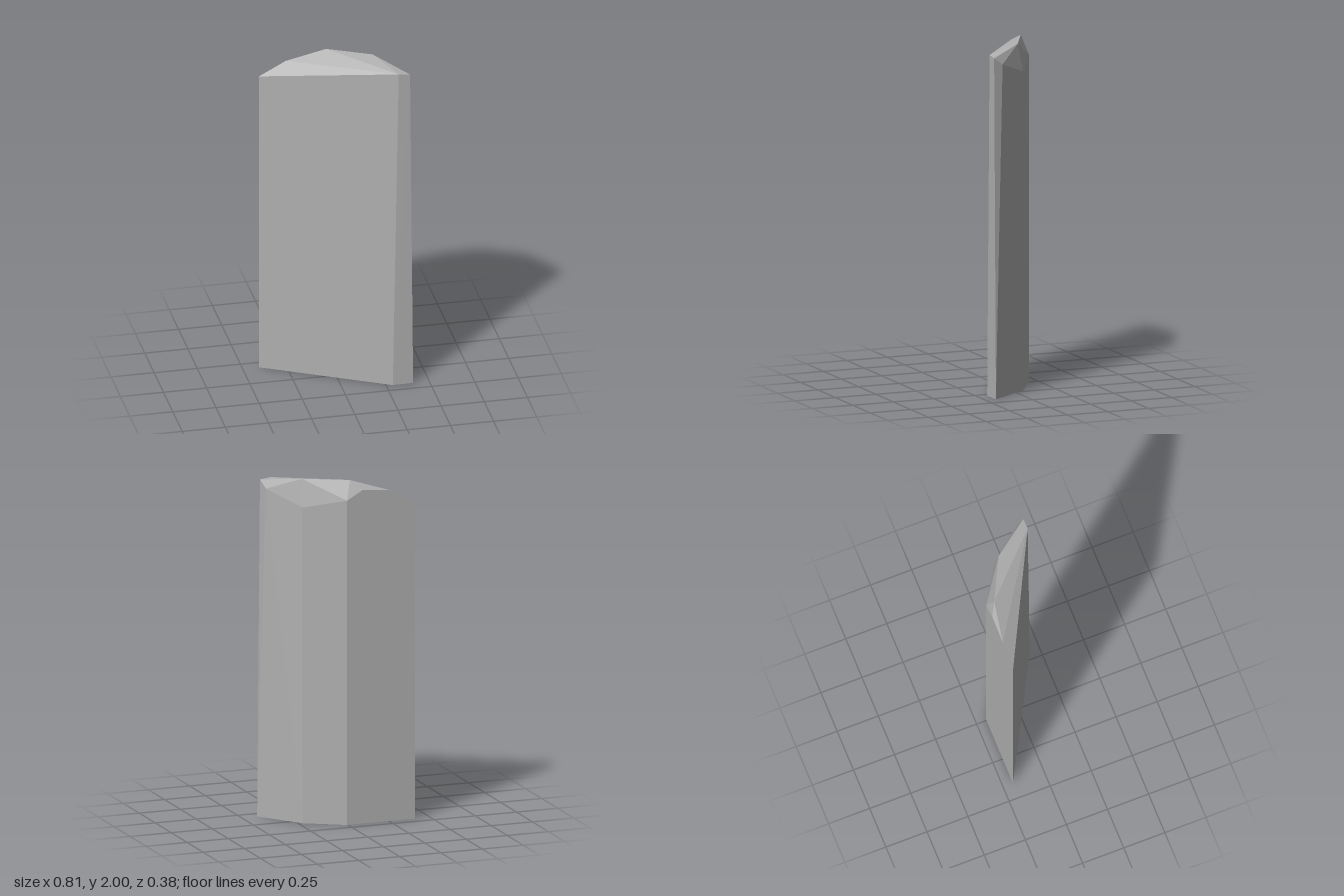
import * as THREE from 'three';
import { ConvexGeometry } from 'three/addons/geometries/ConvexGeometry.js';

export function createModel() {
  const group = new THREE.Group();
  group.name = 'standingStone';
  const stone = new THREE.MeshStandardMaterial({ color: 0xb0b0b0 });
  stone.name = 'grey stone';
  stone.flatShading = true;

  // five-sided foot, as x, z
  const foot = [[-0.406, -0.19], [0.288, 0.188], [0.406, 0.185], [0.225, -0.06], [0.005, -0.19]]
    .map(([x, z]) => [x, 0, z]);

  // upper rim where the walls end
  const rim = [
    [-0.406, 1.848, -0.19], [0.322, 1.97, 0.188], [0.388, 1.962, 0.188],
    [0.374, 1.92, 0.13], [0.225, 1.84, -0.06], [0.005, 1.89, -0.19],
    [-0.09, 1.945, -0.19], [-0.25, 1.93, -0.19],
  ];

  // ridge of the chipped top
  const ridge = [[-0.025, 2, -0.153], [0.218, 2, -0.03]];

  const points = [...foot, ...rim, ...ridge].map((p) => new THREE.Vector3(...p));
  const slab = new THREE.Mesh(new ConvexGeometry(points), stone);
  slab.name = 'stoneSlab';
  group.add(slab);
  return group;
}
